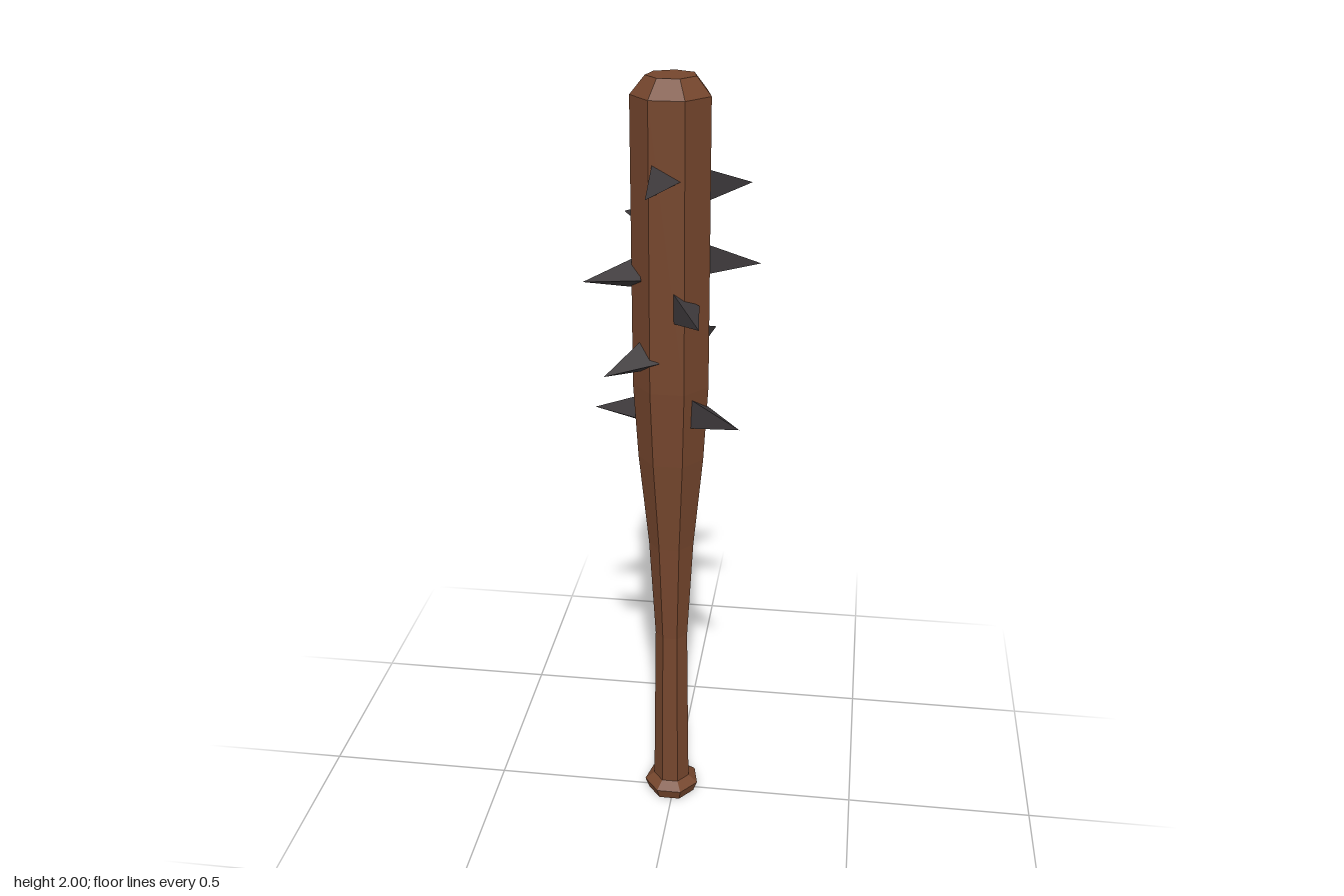
import * as THREE from 'three';

const CENTRE_X = -0.006;

// Facet a geometry so each face has its own normal
function faceted(geometry) {
  const flat = geometry.toNonIndexed();
  flat.computeVertexNormals();
  return flat;
}

export function createModel() {
  const group = new THREE.Group();
  const wood = new THREE.MeshStandardMaterial({ color: 0x75462d, flatShading: true });
  const iron = new THREE.MeshStandardMaterial({ color: 0x3d393b, flatShading: true });

  // Seven-sided bat: knob, slim handle, flared barrel, chamfered end
  const profile = [
    [0, 0], [0.065, 0], [0.076, 0.03], [0.05, 0.05], [0.044, 0.52], [0.06, 0.8],
    [0.085, 1.05], [0.097, 1.25], [0.097, 1.957], [0.061, 2], [0, 2],
  ].map(([r, y]) => new THREE.Vector2(r, y));
  const bat = new THREE.Mesh(faceted(new THREE.LatheGeometry(profile, 7, Math.PI)), wood);
  bat.name = 'bat';
  bat.position.x = CENTRE_X;
  group.add(bat);

  // Three-sided spike pointing along +x, drooping slightly
  const length = 0.136;
  const spikeGeometry = faceted(
    new THREE.ConeGeometry(0.045, length, 3)
      .rotateY(Math.PI)
      .rotateZ(-Math.PI / 2)
      .translate(length / 2, 0, 0)
      .rotateZ(-0.08)
      .translate(0.08, 0, 0)
  );

  // Spikes evenly spread around the barrel at scattered heights
  const tipHeights = [1.565, 1.18, 1.46, 1.765, 1.32, 1.52, 1.145, 1.635, 1.84, 1.33, 1.73];
  const spikes = new THREE.Group();
  spikes.name = 'spikes';
  tipHeights.forEach((y, i) => {
    const spike = new THREE.Mesh(spikeGeometry, iron);
    spike.name = `spike${i + 1}`;
    spike.position.set(CENTRE_X, y + 0.011, 0);
    spike.rotation.y = (-i * 2 * Math.PI) / tipHeights.length;
    spikes.add(spike);
  });
  group.add(spikes);

  return group;
}
